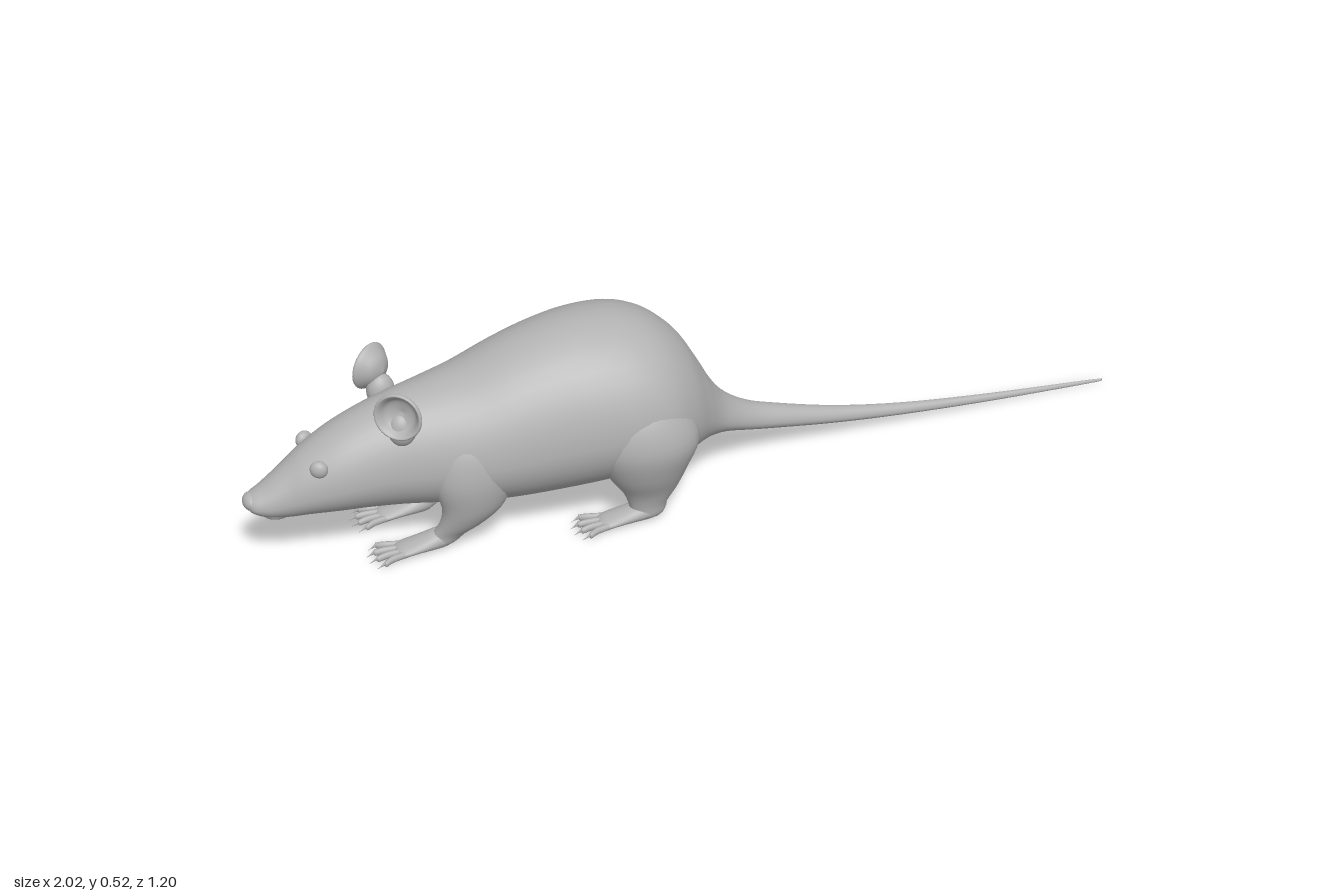
import * as THREE from 'three';

const fur = new THREE.MeshStandardMaterial({ color: 0xb2b2b2 });
fur.name = 'grey fur';

// Smooth interpolation of numeric rows (Catmull-Rom on every column)
function smoothRows(rows, steps) {
  const out = [];
  for (let i = 0; i < rows.length - 1; i++) {
    const p0 = rows[Math.max(i - 1, 0)], p1 = rows[i], p2 = rows[i + 1];
    const p3 = rows[Math.min(i + 2, rows.length - 1)];
    for (let k = 0; k < steps; k++) {
      const t = k / steps;
      out.push(p1.map((b, c) => {
        const slope = p2[c] - p0[c];
        const bend = 2 * p0[c] - 5 * b + 4 * p2[c] - p3[c];
        const twist = 3 * (b - p2[c]) + p3[c] - p0[c];
        return b + 0.5 * t * (slope + t * (bend + t * twist));
      }));
    }
  }
  out.push(rows[rows.length - 1]);
  return out;
}

// Loft of ovals. Row: [along, centre, side centre, radius up, radius down, half width].
// Lying lofts run along x; standing lofts run along y, with "up" pointing to -x.
function loft(rows, { standing = false, sides = 20, steps = 4 } = {}) {
  const rings = smoothRows(rows, steps), pos = [], index = [];
  rings.forEach(([a, c, z, up, down, half], i) => {
    for (let j = 0; j < sides; j++) {
      const t = (j / sides) * Math.PI * 2, cos = Math.cos(t);
      const r = Math.max(cos > 0 ? up : down, 0.0005) * cos;
      const w = z + Math.max(half, 0.0005) * Math.sin(t);
      if (standing) pos.push(c - r, a, w); else pos.push(a, c + r, w);
      if (i === rings.length - 1) continue;
      const p = i * sides + j, q = i * sides + (j + 1) % sides;
      index.push(p, q, p + sides, q, q + sides, p + sides);
    }
  });
  const g = new THREE.BufferGeometry();
  g.setAttribute('position', new THREE.Float32BufferAttribute(pos, 3));
  g.setIndex(index);
  g.computeVertexNormals();
  return g;
}

export function createModel() {
  const model = new THREE.Group();
  const rat = new THREE.Group();
  rat.name = 'rat';
  rat.rotation.y = Math.PI / 6;
  model.add(rat);

  const add = (name, geometry, parent = rat) => {
    const m = new THREE.Mesh(geometry, fur);
    m.name = name;
    parent.add(m);
    return m;
  };
  const ball = (name, p, r) => {
    const m = add(name, new THREE.SphereGeometry(1, 24, 16));
    m.position.set(...p);
    m.scale.set(...r);
    return m;
  };

  // Head, trunk and tail in one flowing skin: [x, top, bottom, half width, side shift]
  const skin = [
    [-1.146, 0.190, 0.184, 0.004, 0], [-1.135, 0.207, 0.163, 0.032, 0],
    [-1.10, 0.228, 0.145, 0.049, 0], [-1.05, 0.265, 0.136, 0.064, 0],
    [-1.00, 0.303, 0.135, 0.082, 0], [-0.93, 0.345, 0.131, 0.102, 0],
    [-0.86, 0.376, 0.126, 0.114, 0], [-0.78, 0.402, 0.118, 0.128, 0],
    [-0.70, 0.420, 0.108, 0.148, 0], [-0.60, 0.445, 0.094, 0.174, 0],
    [-0.50, 0.483, 0.086, 0.192, 0], [-0.40, 0.512, 0.085, 0.207, 0],
    [-0.30, 0.526, 0.089, 0.222, 0], [-0.20, 0.520, 0.095, 0.228, 0],
    [-0.12, 0.490, 0.102, 0.215, 0], [-0.05, 0.430, 0.115, 0.170, 0],
    [0.00, 0.350, 0.124, 0.122, 0], [0.04, 0.276, 0.125, 0.088, 0],
    [0.08, 0.222, 0.119, 0.066, -0.002], [0.14, 0.178, 0.100, 0.046, -0.008],
    [0.22, 0.145, 0.080, 0.036, -0.016], [0.40, 0.095, 0.050, 0.024, -0.020],
    [0.60, 0.060, 0.029, 0.016, -0.020], [0.85, 0.035, 0.014, 0.010, -0.016],
    [1.155, 0.014, 0.005, 0.004, -0.010], [1.162, 0.010, 0.008, 0.001, -0.010],
  ].map(([x, top, low, half, z]) => {
    const mid = low + (top - low) * 0.43;
    return [x, mid, z, top - mid, mid - low, half];
  });
  add('bodyAndTail', loft(skin, { sides: 40, steps: 5 }));

  // Nose pad and lower lip
  ball('nose', [-1.13, 0.188, 0], [0.022, 0.022, 0.03]);
  ball('lowerLip', [-1.07, 0.15, 0], [0.04, 0.02, 0.034]);

  // Ear cup, from the outer back over the rolled rim to the hollow
  const cup = new THREE.SplineCurve([[0, -0.034], [0.03, -0.024], [0.05, -0.004], [0.06, 0.010],
    [0.056, 0.017], [0.048, 0.010], [0.034, -0.008], [0, -0.018]]
    .map(([r, y]) => new THREE.Vector2(r, y))).getPoints(28);

  for (const s of [1, -1]) {
    const side = s > 0 ? 'left' : 'right';

    ball(side + 'Eye', [-0.977, 0.284, s * 0.072], [0.022, 0.022, 0.016]).rotation.y = -s * 0.45;

    const ear = add(side + 'Ear', new THREE.LatheGeometry(cup, 32));
    ear.position.set(-0.785, 0.418, s * 0.118);
    ear.quaternion.setFromUnitVectors(new THREE.Vector3(0, 1, 0),
      new THREE.Vector3(-0.6, 0.1, s * 0.8).normalize());
    ball(side + 'EarRoot', [-0.775, 0.365, s * 0.095], [0.035, 0.045, 0.03]);

    // Legs, from the sole up to the hip or shoulder
    const hind = [
      [0.006, -0.19, 0.15, 0.02, 0.02, 0.015], [0.02, -0.185, 0.15, 0.04, 0.045, 0.028],
      [0.05, -0.18, 0.15, 0.05, 0.05, 0.033], [0.09, -0.175, 0.152, 0.07, 0.07, 0.044],
      [0.15, -0.18, 0.155, 0.105, 0.1, 0.07], [0.23, -0.18, 0.155, 0.14, 0.13, 0.092],
      [0.31, -0.19, 0.15, 0.12, 0.11, 0.08], [0.37, -0.2, 0.14, 0.06, 0.06, 0.045],
      [0.39, -0.2, 0.135, 0, 0, 0],
    ];
    const fore = [
      [0.008, -0.7, 0.085, 0.015, 0.015, 0.01], [0.02, -0.69, 0.086, 0.035, 0.035, 0.024],
      [0.045, -0.67, 0.09, 0.045, 0.045, 0.03], [0.08, -0.64, 0.105, 0.06, 0.06, 0.038],
      [0.13, -0.615, 0.115, 0.08, 0.08, 0.05], [0.21, -0.61, 0.11, 0.105, 0.1, 0.068],
      [0.29, -0.61, 0.1, 0.09, 0.09, 0.065], [0.35, -0.61, 0.085, 0.04, 0.04, 0.04],
      [0.365, -0.61, 0.08, 0, 0, 0],
    ];
    for (const [name, rows, toe, heel, z] of [
      ['Hind', hind, -0.385, -0.13, 0.15], ['Front', fore, -0.885, -0.65, 0.084]]) {
      const legRows = rows.map(([y, x, out, ...radii]) => [y, x, s * out, ...radii]);
      add(side + name + 'Leg', loft(legRows, { standing: true, sides: 28 }));

      // Flat foot, spread toes and pointed claws
      const foot = new THREE.Group();
      foot.name = side + name + 'Foot';
      rat.add(foot);
      const knuckle = toe + 0.085;
      add('sole', loft([
        [knuckle - 0.012, 0.015, s * z, 0, 0, 0.01], [knuckle, 0.016, s * z, 0.012, 0.011, 0.032],
        [knuckle + 0.05, 0.022, s * z, 0.018, 0.016, 0.034],
        [heel - 0.03, 0.03, s * z, 0.028, 0.024, 0.026], [heel, 0.032, s * z, 0, 0, 0],
      ]), foot);
      for (let k = 0; k < 4; k++) {
        const f = k - 1.5, z0 = s * z + f * 0.015, z1 = s * z + f * 0.028;
        const tip = toe + 0.012 * Math.abs(f), mid = (tip + knuckle) / 2;
        add('toe', loft([
          [tip, 0.005, z1, 0, 0, 0], [tip + 0.018, 0.015, z1, 0.004, 0.005, 0.003],
          [tip + 0.022, 0.014, z1, 0.008, 0.008, 0.007],
          [mid + 0.01, 0.017, (z0 + z1) / 2, 0.009, 0.009, 0.008],
          [knuckle + 0.02, 0.016, z0, 0.008, 0.008, 0.008],
        ], { sides: 10, steps: 3 }), foot);
      }
    }
  }
  return model;
}
